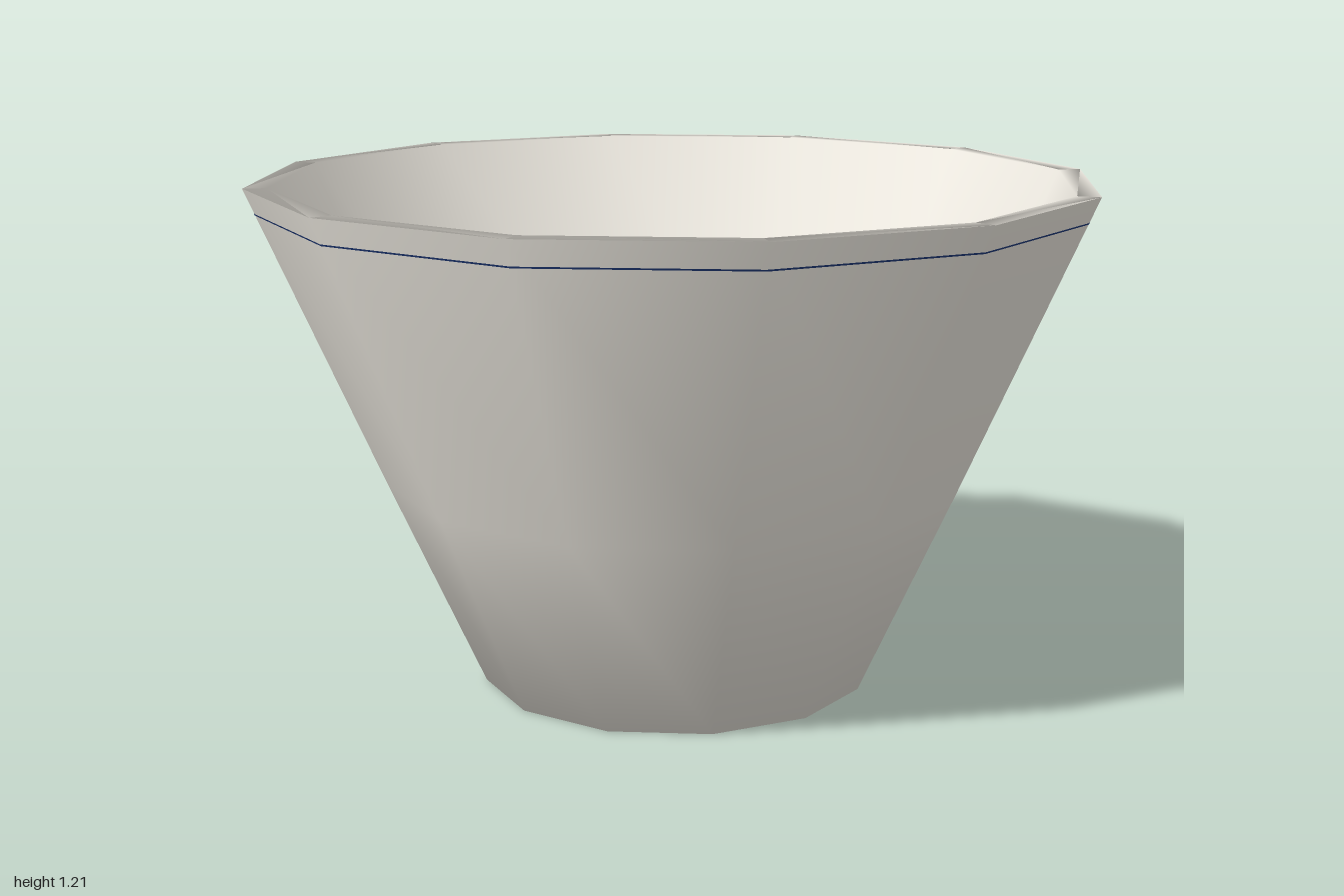
import * as THREE from 'three';

const SIDES = 12;
const FILL_TOP = 0.65;

function material(color, options = {}) {
  return new THREE.MeshStandardMaterial({ color, ...options });
}

function lathe(name, profile, color) {
  const points = profile.map(([r, y]) => new THREE.Vector2(r, y));
  const mesh = new THREE.Mesh(new THREE.LatheGeometry(points, SIDES),
    material(color, { side: THREE.DoubleSide }));
  mesh.name = name;
  return mesh;
}

// Flat-topped layer with its vertices aligned to the bowl's
function layer(name, radius, bottom, top, color) {
  const geometry = new THREE.CylinderGeometry(radius, radius, top - bottom, SIDES);
  const mesh = new THREE.Mesh(geometry, material(color));
  mesh.position.y = (bottom + top) / 2;
  mesh.name = name;
  return mesh;
}

export function createModel() {
  const model = new THREE.Group();
  model.name = 'filledBowl';

  // Thick-walled bowl, smooth from the slightly hollow foot to the rim
  model.add(lathe('bowl', [
    [0, 0.05], [0.465, 0], [0.69, 0.5], [1, 1.21],
    [0.945, 1.21], [0.655, 0.52], [0.44, 0.08], [0, 0.08],
  ], 0xf2eee5));

  // Thin painted line just below the rim
  model.add(lathe('rimLine', [[0.9735, 1.148], [0.9755, 1.152]], 0x1f3a7a));

  // Broth with two stacked layers of filling
  model.add(layer('broth', 0.66, 0.53, 0.55, 0x6e6c5e));
  model.add(layer('lowerFilling', 0.55, 0.53, 0.62, 0xdcd9cb));
  model.add(layer('upperFilling', 0.4, 0.6, FILL_TOP, 0xe6e2d6));

  // Flat shards lying on the filling, as [x, z] outlines
  const outlines = [
    [[-0.035, -0.225], [0.02, -0.25], [0.07, -0.19]],
    [[-0.32, -0.065], [-0.245, -0.135], [-0.245, -0.07]],
    [[0.2, -0.075], [0.265, -0.095], [0.295, -0.025]],
    [[-0.015, -0.075], [0.03, -0.015], [0.065, -0.02], [0.05, 0.055],
      [0.01, 0.035], [-0.03, 0.05], [-0.015, -0.01]],
  ];
  const garnish = new THREE.Group();
  garnish.name = 'garnish';
  const shardMaterial = material(0xece9e0, { flatShading: true });
  outlines.forEach((outline, i) => {
    const shape = new THREE.Shape(outline.map(([x, z]) => new THREE.Vector2(x, z)));
    const geometry = new THREE.ExtrudeGeometry(shape, { depth: 0.012, bevelEnabled: false });
    const shard = new THREE.Mesh(geometry.rotateX(Math.PI / 2), shardMaterial);
    shard.position.y = FILL_TOP + 0.008;
    shard.name = `shard${i + 1}`;
    garnish.add(shard);
  });
  model.add(garnish);

  return model;
}
